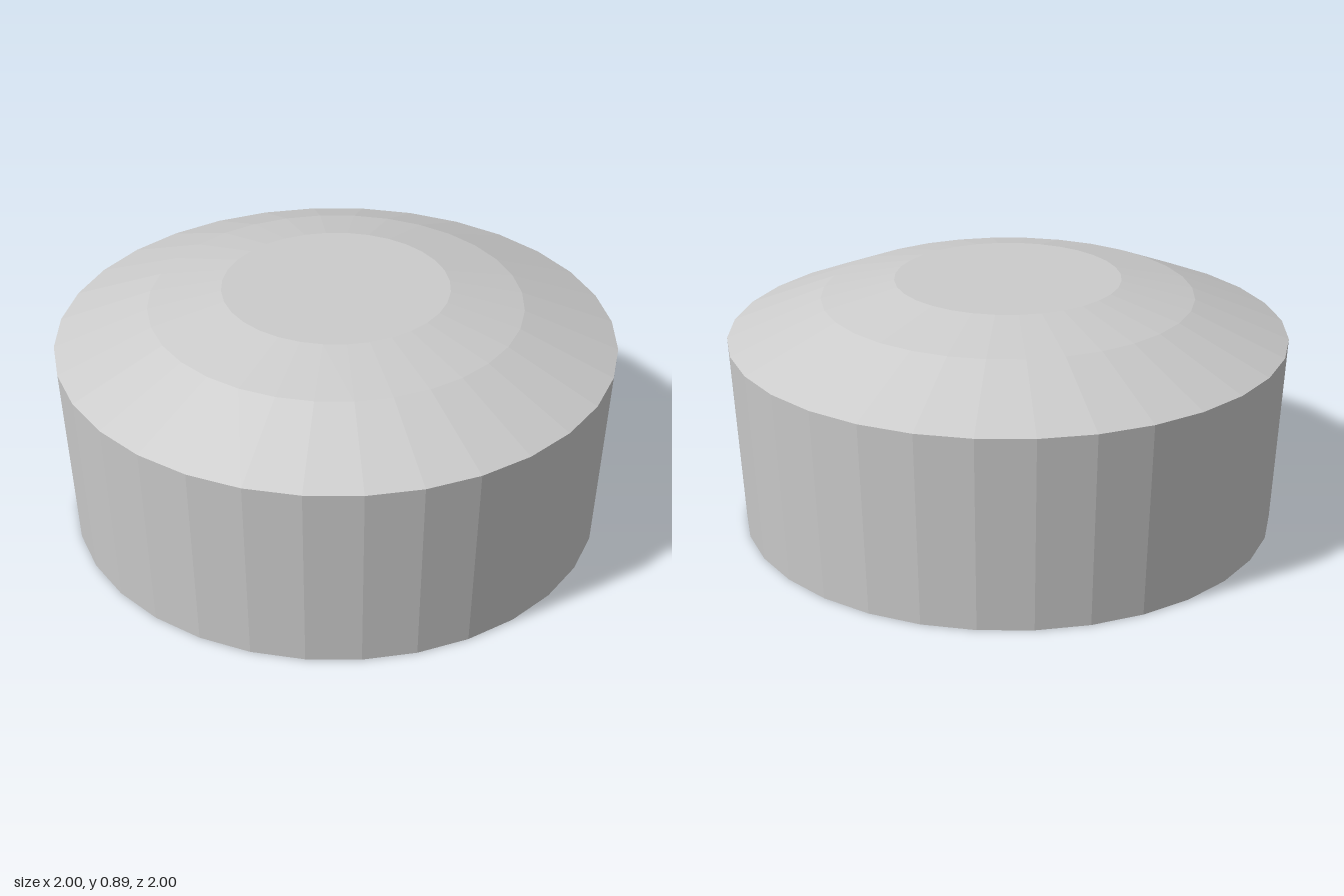
import * as THREE from 'three';

const SIDES = 32;

// Faceted surface of revolution from [radius, height] pairs, listed bottom to top
function turned(name, profile, material) {
  const points = profile.map(([r, y]) => new THREE.Vector2(r, y));
  const mesh = new THREE.Mesh(new THREE.LatheGeometry(points, SIDES), material);
  mesh.name = name;
  return mesh;
}

export function createModel() {
  const group = new THREE.Group();
  group.name = 'domedDrum';
  const material = new THREE.MeshStandardMaterial({ color: 0xcccccc, flatShading: true });

  // Slightly flared wall with a closed base
  group.add(turned('body', [[0, 0], [0.965, 0], [1, 0.693]], material));

  // Two sloping bands rising to a flat top
  group.add(turned('domedTop', [[1, 0.693], [0.665, 0.83], [0.404, 0.89], [0, 0.89]], material));

  return group;
}
